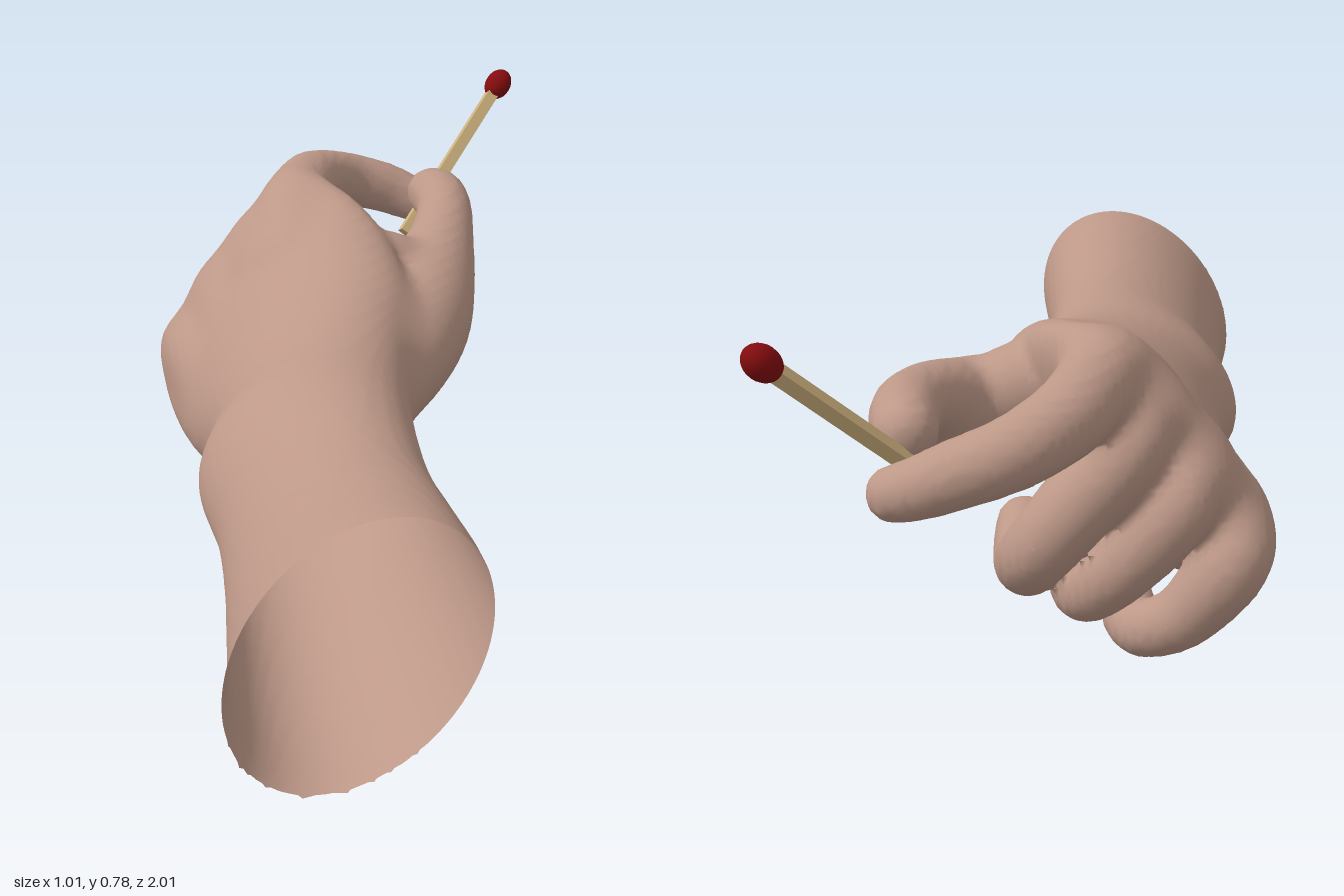
import * as THREE from 'three';

const skin = new THREE.MeshStandardMaterial({ color: 0xbd9888, side: THREE.DoubleSide });
skin.name = 'skin';
const wood = new THREE.MeshStandardMaterial({ color: 0xd2b480 });
wood.name = 'pale wood';
const red = new THREE.MeshStandardMaterial({ color: 0x840c0e });
red.name = 'dark red';

// Leaning oval sections of forearm and palm: z, xMin, xMax, yMin, yMax, lean
const armSections = [
  [-0.6, -0.43, -0.07, 0.19, 0.64, 0.88],
  [-0.5, -0.455, -0.03, 0.14, 0.667, 0.86],
  [-0.4, -0.45, 0.02, 0.1, 0.655, 0.79],
  [-0.3, -0.44, 0.06, 0.078, 0.63, 0.66],
  [-0.2, -0.425, 0.08, 0.072, 0.6, 0.54],
  [-0.1, -0.41, 0.08, 0.09, 0.572, 0.43],
  [0, -0.4, 0.05, 0.12, 0.545, 0.35],
  [0.1, -0.415, 0.02, 0.128, 0.528, 0.32],
  [0.22, -0.455, -0.005, 0.115, 0.518, 0.3],
  [0.4, -0.44, -0.025, 0.085, 0.508, 0.3],
  [0.6, -0.45, -0.035, 0.065, 0.505, 0.3],
  [0.8, -0.472, -0.028, 0.04, 0.525, 0.29],
  [0.94, -0.49, -0.022, 0.02, 0.545, 0.27],
  [1.01, -0.51, -0.02, 0.003, 0.55, 0.27],
];

// Digits from knuckle to the centre of the tip: x, y, z, radius
const digits = {
  thumbWeb: [[-0.06, 0.5, -0.31, 0.09], [0.03, 0.495, -0.33, 0.095], [0.13, 0.46, -0.35, 0.08]],
  thumb: [
    [-0.06, 0.34, 0.06, 0.09], [0.025, 0.37, -0.08, 0.115], [0.095, 0.4, -0.22, 0.127],
    [0.155, 0.45, -0.34, 0.107], [0.21, 0.51, -0.46, 0.078], [0.245, 0.54, -0.58, 0.067],
    [0.253, 0.545, -0.67, 0.067], [0.248, 0.54, -0.73, 0.062],
  ],
  indexFinger: [
    [-0.16, 0.52, -0.38, 0.085], [-0.125, 0.585, -0.53, 0.086], [-0.09, 0.588, -0.66, 0.078],
    [-0.04, 0.575, -0.78, 0.074], [0.05, 0.545, -0.865, 0.068], [0.15, 0.512, -0.885, 0.063],
    [0.22, 0.482, -0.875, 0.057], [0.262, 0.467, -0.86, 0.052],
  ],
  middleFinger: [
    [-0.2, 0.47, -0.4, 0.075], [-0.185, 0.5, -0.53, 0.083], [-0.15, 0.465, -0.645, 0.082],
    [-0.06, 0.37, -0.69, 0.076], [0.01, 0.275, -0.67, 0.069], [0.028, 0.215, -0.57, 0.064],
    [0.03, 0.22, -0.48, 0.063], [0.03, 0.235, -0.42, 0.058],
  ],
  ringFinger: [
    [-0.28, 0.36, -0.38, 0.075], [-0.28, 0.385, -0.5, 0.083], [-0.25, 0.35, -0.63, 0.081],
    [-0.16, 0.245, -0.65, 0.069], [-0.095, 0.17, -0.605, 0.061], [-0.075, 0.145, -0.52, 0.058],
    [-0.075, 0.145, -0.46, 0.057], [-0.075, 0.152, -0.405, 0.053],
  ],
  littleFinger: [
    [-0.35, 0.27, -0.34, 0.075], [-0.37, 0.27, -0.46, 0.082], [-0.365, 0.225, -0.59, 0.08],
    [-0.285, 0.115, -0.59, 0.065], [-0.21, 0.065, -0.55, 0.058], [-0.182, 0.058, -0.49, 0.056],
    [-0.18, 0.062, -0.45, 0.055], [-0.18, 0.068, -0.415, 0.052],
  ],
};

// Evenly spaced smooth samples of every column in a table of rows
function sampleRows(rows, count) {
  const curves = rows[0].map((_, k) =>
    new THREE.SplineCurve(rows.map((r) => new THREE.Vector2(r[k], 0))));
  return Array.from({ length: count }, (_, i) =>
    curves.map((c) => c.getPoint(i / (count - 1)).x));
}

// Signed distance to a leaning oval in the plane of its section
function ovalDistance(x, y, [, x0, x1, y0, y1, lean]) {
  const hx = (x1 - x0) / 2, hy = (y1 - y0) / 2;
  const u = (x - (x0 + x1) / 2) / hx, v = (y - (y0 + y1) / 2) / hy;
  const s = Math.sin(lean);
  const q = Math.sqrt((u * u - 2 * s * u * v + v * v) / (1 - s * s)) + 1e-6;
  const slope = Math.hypot((u - s * v) / hx, (v - s * u) / hy) / (1 - s * s) + 1e-6;
  return ((q - 1) * q) / slope;
}

// Union of two distances with a fillet of width k
function blend(a, b, k) {
  const w = Math.max(k - Math.abs(a - b), 0) / k;
  return Math.min(a, b) - (w * w * k) / 4;
}

// Signed distance to the whole hand; digits melt into the palm only at their roots
const limbs = Object.values(digits).map((rows) => sampleRows(rows, 40));
function handDistance(x, y, z, section) {
  let d = -blend(-ovalDistance(x, y, section), z + 0.61, 0.08);
  for (const limb of limbs) {
    let best = Infinity, at = 0;
    limb.forEach(([cx, cy, cz, r], i) => {
      const dx = x - cx, dy = y - cy, dz = z - cz;
      const e = Math.sqrt(dx * dx + dy * dy + dz * dz) - r;
      if (e < best) { best = e; at = i; }
    });
    const root = Math.max(0, 1 - at / 22);
    d = blend(d, best, 0.008 + 0.047 * root);
  }
  return d;
}

// Skin over the distance field: one vertex per crossed cell, one quad per crossed edge.
// The grid stops at the forearm's end, which leaves it open.
function handGeometry() {
  const h = 0.016;
  const size = [58, 48, 126];
  const origin = [-0.56, -0.04, 1 + h / 2 - (size[2] - 1) * h];
  const stride = [1, size[0], size[0] * size[1]];
  const total = stride[2] * size[2];
  const field = new Float32Array(total);
  const cellVertex = new Int32Array(total).fill(-1);
  const coords = (n) => [n % size[0], Math.floor(n / size[0]) % size[1], Math.floor(n / stride[2])];
  const sections = sampleRows(armSections, 400);

  for (let k = 0, n = 0; k < size[2]; k++) {
    const z = origin[2] + k * h;
    const section = sections.find((s) => s[0] >= z) ?? sections.at(-1);
    for (let j = 0; j < size[1]; j++) {
      for (let i = 0; i < size[0]; i++) {
        field[n++] = handDistance(origin[0] + i * h, origin[1] + j * h, z, section);
      }
    }
  }

  const points = [];
  for (let n = 0; n < total; n++) {
    const c = coords(n);
    if (c.some((v, a) => v === size[a] - 1)) continue;
    const sum = new THREE.Vector3();
    let crossings = 0;
    for (let corner = 0; corner < 8; corner++) {
      const o = [corner & 1, (corner >> 1) & 1, corner >> 2];
      const m = n + o[0] * stride[0] + o[1] * stride[1] + o[2] * stride[2];
      for (let a = 0; a < 3; a++) {
        if (o[a]) continue;
        const v0 = field[m], v1 = field[m + stride[a]];
        if ((v0 < 0) === (v1 < 0)) continue;
        const p = o.slice();
        p[a] = v0 / (v0 - v1);
        sum.add(new THREE.Vector3(...p));
        crossings++;
      }
    }
    if (!crossings) continue;
    cellVertex[n] = points.length;
    points.push(sum.divideScalar(crossings).add(new THREE.Vector3(...c))
      .multiplyScalar(h).add(new THREE.Vector3(...origin)));
  }

  const index = [];
  for (let n = 0; n < total; n++) {
    const c = coords(n);
    for (let a = 0; a < 3; a++) {
      const b = (a + 1) % 3, e = (a + 2) % 3;
      if (c[a] === size[a] - 1 || !c[b] || !c[e]) continue;
      const inside = field[n] < 0;
      if (inside === field[n + stride[a]] < 0) continue;
      const q = [n - stride[b] - stride[e], n - stride[e], n, n - stride[b]].map((m) => cellVertex[m]);
      if (q.includes(-1)) continue;
      if (!inside) q.reverse();
      index.push(q[0], q[1], q[2], q[0], q[2], q[3]);
    }
  }
  const g = new THREE.BufferGeometry().setFromPoints(points);
  g.setIndex(index);
  g.computeVertexNormals();
  return g;
}

export function createModel() {
  const model = new THREE.Group();
  model.name = 'handHoldingMatch';
  const add = (parent, name, geometry, material) => {
    const mesh = new THREE.Mesh(geometry, material);
    mesh.name = name;
    parent.add(mesh);
    return mesh;
  };
  add(model, 'handAndForearm', handGeometry(), skin);

  // Match pinched between thumb and index finger
  const foot = new THREE.Vector3(0.18, 0.435, -0.74);
  const top = new THREE.Vector3(0.472, 0.742, -0.965);
  const match = new THREE.Group();
  match.name = 'match';
  match.position.copy(foot);
  match.quaternion.setFromUnitVectors(
    new THREE.Vector3(0, 1, 0), top.clone().sub(foot).normalize());
  model.add(match);
  const length = foot.distanceTo(top);
  const stick = add(match, 'matchStick', new THREE.BoxGeometry(0.028, length, 0.028), wood);
  stick.position.y = length / 2;
  const head = add(match, 'matchHead', new THREE.SphereGeometry(0.032, 20, 14), red);
  head.scale.y = 1.3;
  head.position.y = length;

  return model;
}
